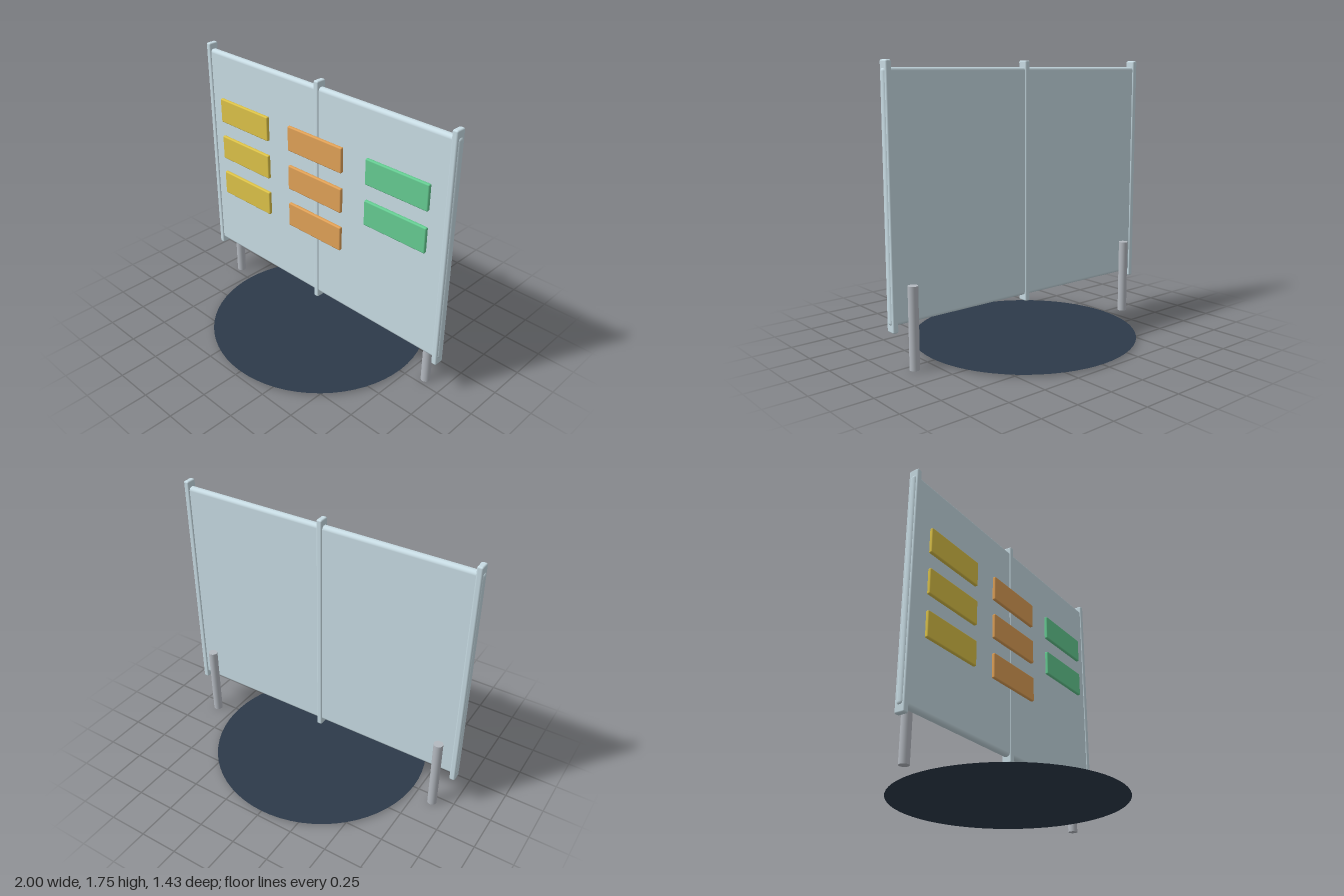
import * as THREE from 'three';
import { RoundedBoxGeometry } from 'three/addons/geometries/RoundedBoxGeometry.js';

const paint = (color) => new THREE.MeshStandardMaterial({ color });

export function createModel() {
  const group = new THREE.Group();
  const add = (name, geometry, material, x, y, z) => {
    const mesh = new THREE.Mesh(geometry, material);
    mesh.name = name;
    mesh.position.set(x, y, z);
    group.add(mesh);
    return mesh;
  };

  // Board panel with rounded edges
  const pale = paint(0xc8dce4);
  add('boardPanel', new RoundedBoxGeometry(2, 1.435, 0.05, 4, 0.022), pale, 0, 0.988, 0);

  // Upright frame bars at both ends and the middle
  const barGeometry = new RoundedBoxGeometry(0.036, 1.515, 0.068, 3, 0.01);
  for (const x of [-0.975, 0, 0.975]) add('frameBar', barGeometry, pale, x, 0.988, 0);

  // Cards in three columns
  const cardGeometry = new RoundedBoxGeometry(0.45, 0.165, 0.024, 3, 0.008);
  const columns = [
    { x: -0.635, color: 0xdcc248, count: 3 },
    { x: 0, color: 0xe0a157, count: 3 },
    { x: 0.635, color: 0x65cc92, count: 2 },
  ];
  for (const { x, color, count } of columns) {
    const material = paint(color);
    for (let i = 0; i < count; i++) add('card', cardGeometry, material, x, 1.318 - i * 0.268, 0.041);
  }

  // Round legs behind the board
  const legGeometry = new THREE.CylinderGeometry(0.03, 0.03, 0.495, 24);
  const metal = paint(0xb4b9c0);
  for (const side of [-1, 1]) add('leg', legGeometry, metal, side * 0.871, 0.2475, -0.053);

  // Flat floor disc
  const dark = paint(0x2d3a4a);
  dark.side = THREE.DoubleSide;
  const disc = add('floorDisc', new THREE.CircleGeometry(0.716, 64), dark, 0, 0.012, 0);
  disc.rotation.x = -Math.PI / 2;

  return group;
}
